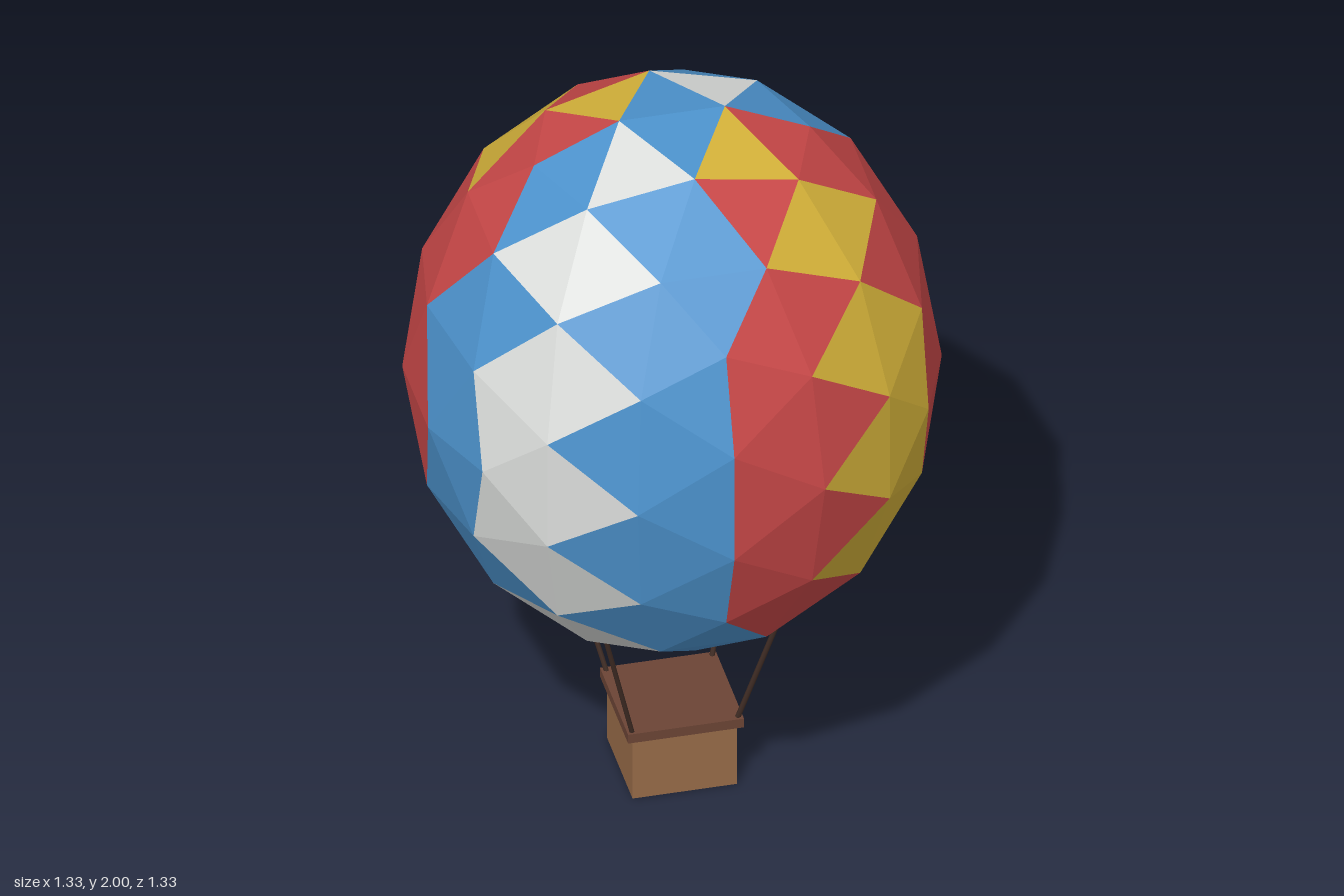
import * as THREE from 'three';

const material = (name, color) => {
  const m = new THREE.MeshStandardMaterial({ color });
  m.name = name;
  return m;
};

export function createModel() {
  const model = new THREE.Group();
  model.name = 'hotAirBalloon';

  const red = material('red', 0xc94848);
  const yellow = material('yellow', 0xd6b33a);
  const blue = material('blue', 0x4c92cc);
  const white = material('white', 0xdadcda);
  const wicker = material('wicker', 0x976b48);
  const rimBrown = material('rimBrown', 0x6b4435);
  const ropeBrown = material('ropeBrown', 0x422e26);

  const add = (name, geometry, mat, x = 0, y = 0, z = 0, parent = model) => {
    const mesh = new THREE.Mesh(geometry, mat);
    mesh.name = name;
    mesh.position.set(x, y, z);
    parent.add(mesh);
    return mesh;
  };

  // Envelope: a stretched, faceted icosphere; each face takes the colour of its 30 degree gore
  const envelope = new THREE.Group();
  envelope.name = 'envelope';
  envelope.position.y = 1.237;
  model.add(envelope);

  const sphere = new THREE.IcosahedronGeometry(0.679, 2);
  sphere.scale(1, 1.148, 1);
  const p = sphere.getAttribute('position').array;
  const gores = [red, yellow, red, blue, white, blue];
  const faces = new Map([[red, []], [yellow, []], [blue, []], [white, []]]);
  for (let i = 0; i < p.length; i += 9) {
    const x = p[i] + p[i + 3] + p[i + 6];
    const z = p[i + 2] + p[i + 5] + p[i + 8];
    // small offset keeps faces centred on a boundary in the following gore
    const angle = Math.atan2(z, x) + 2 * Math.PI + 1e-4;
    const gore = Math.floor(angle / (Math.PI / 6)) % 6;
    faces.get(gores[gore]).push(...p.slice(i, i + 9));
  }
  for (const [mat, points] of faces) {
    const geometry = new THREE.BufferGeometry();
    geometry.setAttribute('position', new THREE.Float32BufferAttribute(points, 3));
    geometry.computeVertexNormals(); // unshared corners give flat facets
    add(mat.name + 'Panels', geometry, mat, 0, 0, 0, envelope);
  }

  // Pointed mouth under the envelope
  const mouth = new THREE.ConeGeometry(0.08, 0.1, 8).toNonIndexed();
  mouth.rotateX(Math.PI);
  mouth.computeVertexNormals();
  add('mouth', mouth, red, 0, 0.475, 0);

  // Basket with a closed rim slab
  add('basket', new THREE.BoxGeometry(0.27, 0.19, 0.27), wicker, 0, 0.095, 0);
  add('basketRim', new THREE.BoxGeometry(0.3, 0.027, 0.3), rimBrown, 0, 0.196, 0);

  // Four ropes from the rim corners to the envelope
  const up = new THREE.Vector3(0, 1, 0);
  for (const sx of [-1, 1]) {
    for (const sz of [-1, 1]) {
      const from = new THREE.Vector3(sx * 0.135, 0.2, sz * 0.135);
      const to = new THREE.Vector3(sx * 0.225, 0.562, sz * 0.225);
      const dir = to.clone().sub(from);
      const mid = from.clone().add(to).multiplyScalar(0.5);
      const rope = add('rope', new THREE.CylinderGeometry(0.007, 0.007, dir.length(), 6),
        ropeBrown, mid.x, mid.y, mid.z);
      rope.quaternion.setFromUnitVectors(up, dir.normalize());
    }
  }

  return model;
}
